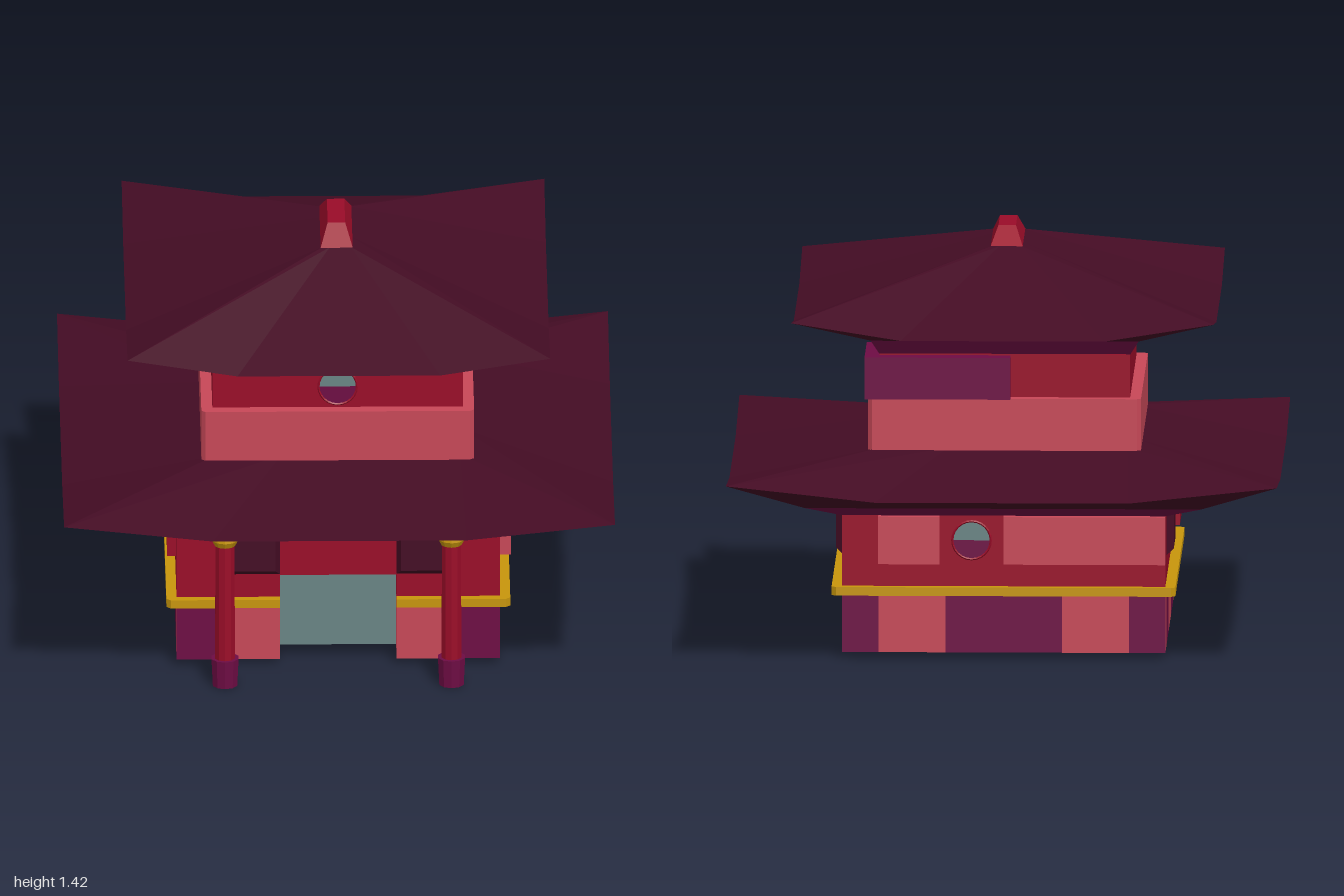
import * as THREE from 'three';

const mat = (color) => new THREE.MeshStandardMaterial({ color, flatShading: true });
const RED = mat(0x9a0c28), PINK = mat(0xc84858), PURPLE = mat(0x6e0c44);
const MAROON = mat(0x440c24), GOLD = mat(0xc8960c), TEAL = mat(0x6a8585);

export function createModel() {
  const root = new THREE.Group();
  const add = (name, geo, material) => {
    const m = new THREE.Mesh(geo, material);
    m.name = name;
    root.add(m);
    return m;
  };
  // Box given by its lower and upper bounds
  const box = (name, material, x0, x1, y0, y1, z0, z1) => {
    const g = new THREE.BoxGeometry(x1 - x0, y1 - y0, z1 - z0);
    g.translate((x0 + x1) / 2, (y0 + y1) / 2, (z0 + z1) / 2);
    return add(name, g, material);
  };
  // Flat outline in [x, z] raised from y0 to y1
  const slab = (name, material, outline, y0, y1) => {
    const shape = new THREE.Shape(outline.map(([x, z]) => new THREE.Vector2(x, -z)));
    const g = new THREE.ExtrudeGeometry(shape, { depth: y1 - y0, bevelEnabled: false });
    g.rotateX(-Math.PI / 2).translate(0, y0, 0);
    return add(name, g, material);
  };
  // Rectangular loop of 12 points; corners lift above the straight middle
  const loop = ({ x, z, y, lift = 0, cut = 0.5, dz = 0 }) => {
    const pts = [];
    const corners = [[x, z], [x, -z], [-x, -z], [-x, z]];
    corners.forEach((a, i) => {
      const b = corners[(i + 1) % 4];
      [0, (1 - cut) / 2, (1 + cut) / 2].forEach((t) => pts.push([
        a[0] + (b[0] - a[0]) * t, y + (t ? 0 : lift), a[1] + (b[1] - a[1]) * t + dz]));
    });
    return pts;
  };
  // Skin between successive loops, lower loop first for an outward face
  const loft = (name, material, loops) => {
    const pos = [], idx = [], n = 12;
    loops.forEach((l) => l.forEach((p) => pos.push(...p)));
    for (let r = 0; r < loops.length - 1; r++) {
      for (let i = 0; i < n; i++) {
        const a = r * n + i, b = r * n + (i + 1) % n;
        idx.push(a, b, b + n, a, b + n, a + n);
      }
    }
    const g = new THREE.BufferGeometry();
    g.setAttribute('position', new THREE.Float32BufferAttribute(pos, 3));
    g.setIndex(idx);
    g.computeVertexNormals();
    return add(name, g, material);
  };
  // Curved-eave roof: upper skin, underside and cove down to the wall
  const roof = (name, rim, top, under, wall) => {
    const [r, t, u, w] = [rim, top, under, wall].map((p) => loop({ cut: rim.cut, ...p }));
    loft(name + 'Top', MAROON, [r, t]);
    loft(name + 'Underside', MAROON, [u, r]);
    loft(name + 'Cove', PURPLE, [w, u]);
  };

  // Lower storey, with a recessed doorway in the front
  const W = 0.555, D = 0.64, R = 0.5;
  box('lowerWall', RED, -W, W, 0.22, 0.5, -D, R);
  box('wallAboveDoor', RED, -0.2, 0.2, 0.33, 0.5, R, D);
  box('door', TEAL, -0.2, 0.2, 0.02, 0.33, R - 0.02, R + 0.005);
  box('plinthCore', PINK, -W + 0.01, W - 0.01, 0.02, 0.22, -D + 0.01, R);
  for (const s of [-1, 1]) {
    const side = (name, m, a, b, y0, y1, z0, z1) =>
      box(name, m, Math.min(s * a, s * b), Math.max(s * a, s * b), y0, y1, z0, z1);
    side('frontWall', RED, 0.2, W, 0.22, 0.5, R, D);
    // Two-colour plinth blocks
    side('frontPlinth', PINK, 0.2, 0.42, 0.02, 0.22, R, D);
    side('frontCornerPlinth', PURPLE, 0.42, W, 0.02, 0.22, D - 0.02, D);
    side('frontCornerPlinth', PINK, 0.42, W, 0.02, 0.22, R, D - 0.02);
    [-D, -0.475, -0.19, 0.2, 0.46].forEach((z, i, a) =>
      side('sidePlinth', i % 2 ? PURPLE : PINK, W - 0.02, W, 0.02, 0.22, z, a[i + 1] ?? D - 0.02));
  }
  [-W, -0.43, -0.2, 0.2, 0.43].forEach((x, i, a) =>
    box('backPlinth', i % 2 ? PINK : PURPLE, x, a[i + 1] ?? W, 0.02, 0.22, -D - 0.002, -D + 0.02));

  // Gold band round the wall, open at the door
  const half = [[0.2, 0.62], [0.2, 0.67], [0.575, 0.67], [0.59, 0.655], [0.59, -0.655], [0.575, -0.67]];
  const inner = [[W - 0.02, -D + 0.02], [W - 0.02, 0.62]];
  for (const s of [-1, 1]) {
    const pts = [...half, [0, -0.67], [0, -D + 0.02], ...inner];
    slab('goldBand', GOLD, pts.map(([x, z]) => [s * x, z]), 0.22, 0.25);
  }

  // Raised wall panels
  box('leftPanel', PINK, W, 0.595, 0.33, 0.495, 0.2, 0.46);
  box('rightPanel', RED, -0.585, -W, 0.33, 0.495, 0.2, 0.46);
  box('narrowBackPanel', PINK, 0.22, 0.43, 0.33, 0.495, -0.672, -D);
  box('wideBackPanel', PINK, -W, 0, 0.33, 0.495, -0.672, -D);

  // Dark bevelled window bays
  const bay = (x, z, turn, w) => {
    const g = new THREE.BoxGeometry(w, 0.16, 0.025);
    const p = g.attributes.position;
    for (let i = 0; i < p.count; i++) {
      if (p.getZ(i) > 0) p.setXY(i, p.getX(i) * 0.86, p.getY(i) * 0.75);
    }
    g.computeVertexNormals();
    const m = add('windowBay', g, MAROON);
    m.position.set(x, 0.413, z);
    m.rotation.y = turn;
  };
  bay(0.31, D + 0.012, 0, 0.22);
  bay(-0.31, D + 0.012, 0, 0.22);
  bay(W + 0.012, -0.333, Math.PI / 2, 0.285);
  bay(-W - 0.012, -0.333, -Math.PI / 2, 0.285);

  // Lower roof and upper storey
  roof('lowerRoof', { x: 0.945, z: 0.995, y: 0.595, lift: 0.055, cut: 0.46 },
    { x: 0.42, z: 0.47, y: 0.705 }, { x: 0.68, z: 0.74, y: 0.535 }, { x: W, z: D, y: 0.495 });
  const a = 0.468, b = 0.508, c = 0.014;
  slab('balcony', PINK, [[a, b - c], [a - c, b], [c - a, b], [-a, b - c],
    [-a, c - b], [c - a, -b], [a - c, -b], [a, c - b]], 0.7, 0.88);
  box('upperWall', RED, -0.43, 0.43, 0.88, 1.03, -0.47, 0.465);
  box('cornerBay', PURPLE, -0.02, 0.48, 0.88, 1.025, -0.53, -0.19);

  // Upper roof and its ridge cap
  roof('upperRoof', { x: 0.725, z: 0.838, y: 1.135, lift: 0.06, cut: 0.48, dz: -0.017 },
    { x: 0.05, z: 0.19, y: 1.36 }, { x: 0.46, z: 0.505, y: 1.08 }, { x: 0.43, z: 0.467, y: 1.028 });
  loft('ridgeCap', RED, [{ x: 0.055, z: 0.195, y: 1.36 }, { x: 0.03, z: 0.11, y: 1.42 },
    { x: 0, z: 0, y: 1.42 }].map(loop));

  // Round windows, teal above and purple below, in a thin rim
  const roundWindow = (x, y, z, r, turn) => {
    const g = new THREE.Group();
    g.name = 'roundWindow';
    g.add(new THREE.Mesh(new THREE.CircleGeometry(r, 12, 0, Math.PI), TEAL));
    g.add(new THREE.Mesh(new THREE.CircleGeometry(r, 12, Math.PI, Math.PI), PURPLE));
    g.add(new THREE.Mesh(new THREE.TorusGeometry(r, 0.004, 4, 24), RED));
    g.position.set(x, y, z);
    g.rotation.y = turn;
    root.add(g);
  };
  roundWindow(0, 0.957, 0.468, 0.066, 0);
  roundWindow(0.11, 0.41, -D - 0.004, 0.066, Math.PI);

  // Front pillars: base, shaft and gold cap
  for (const x of [-0.391, 0.386]) {
    const part = (name, m, r0, r1, y0, y1) => {
      const p = add(name, new THREE.CylinderGeometry(r1, r0, y1 - y0, 10), m);
      p.position.set(x, (y0 + y1) / 2, 0.825);
    };
    part('pillarBase', PURPLE, 0.044, 0.049, 0, 0.1);
    part('pillarShaft', RED, 0.036, 0.034, 0.1, 0.53);
    part('pillarCap', GOLD, 0.036, 0.046, 0.515, 0.535);
    part('pillarCap', GOLD, 0.046, 0.042, 0.535, 0.565);
  }
  return root;
}
